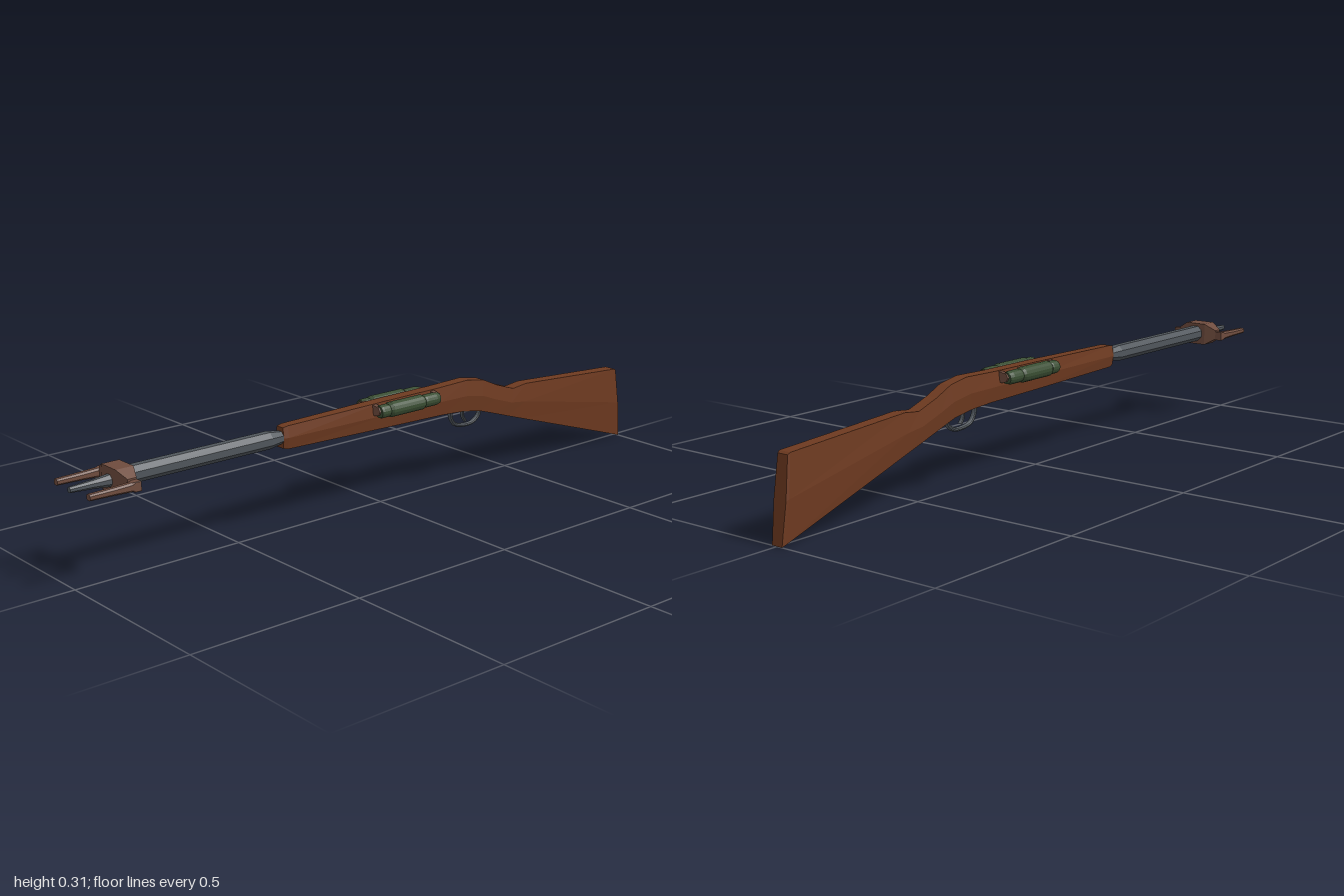
import * as THREE from 'three';

const mat = (name, color) => {
  const m = new THREE.MeshStandardMaterial({ color, flatShading: true });
  m.name = name;
  return m;
};

// Flat-shaded solid through rings of [x, y, z] points, capped at both ends
function loft(rings) {
  const n = rings[0].length, pos = [];
  const tri = (a, b, c) => pos.push(...a, ...b, ...c);
  for (let i = 0; i < rings.length - 1; i++) {
    for (let j = 0; j < n; j++) {
      const k = (j + 1) % n, a = rings[i], b = rings[i + 1];
      tri(a[j], b[j], b[k]);
      tri(a[j], b[k], a[k]);
    }
  }
  const first = rings[0], last = rings[rings.length - 1];
  for (let j = 1; j < n - 1; j++) {
    tri(first[0], first[j], first[j + 1]);
    tri(last[0], last[j + 1], last[j]);
  }
  const g = new THREE.BufferGeometry();
  g.setAttribute('position', new THREE.Float32BufferAttribute(pos, 3));
  g.computeVertexNormals();
  return g;
}

export function createModel() {
  const group = new THREE.Group();
  const wood = mat('walnut wood', 0x6e3a20);
  const steel = mat('dark steel', 0x50565c);
  const green = mat('dark green', 0x3a4e33);
  const bronze = mat('dull bronze', 0x6f4c3e);
  const add = (name, geometry, material, x = 0, y = 0, z = 0) => {
    const mesh = new THREE.Mesh(geometry, material);
    mesh.name = name;
    mesh.position.set(x, y, z);
    group.add(mesh);
  };
  // Faceted round part along x from [radius, x] points
  const turned = (profile, sides) =>
    new THREE.LatheGeometry(profile.map(([r, x]) => new THREE.Vector2(r, x)), sides, Math.PI / sides)
      .rotateZ(-Math.PI / 2);

  // Stock: top x, top y, bottom x, bottom y, edge half width, middle half width
  const stations = [
    [-0.355, 0.294, -0.355, 0.236, 0.013, 0.018],
    [-0.34, 0.297, -0.34, 0.232, 0.015, 0.021],
    [0.0, 0.302, 0.0, 0.224, 0.018, 0.023],
    [0.2, 0.303, 0.22, 0.219, 0.018, 0.024],
    [0.32, 0.306, 0.3, 0.214, 0.018, 0.024],
    [0.385, 0.295, 0.37, 0.203, 0.018, 0.024],
    [0.44, 0.27, 0.42, 0.187, 0.018, 0.023],
    [0.51, 0.246, 0.49, 0.164, 0.018, 0.023],
    [0.565, 0.252, 0.555, 0.143, 0.018, 0.023],
    [0.965, 0.227, 0.99, 0.004, 0.019, 0.024],
    [0.972, 0.222, 1.0, 0, 0.017, 0.021],
  ];
  add('stock', loft(stations.map(([tx, ty, bx, by, e, m]) => {
    const mx = (tx + bx) / 2, my = (ty + by) / 2;
    return [[tx, ty, e], [tx, ty, -e], [mx, my, -m], [bx, by, -e], [bx, by, e], [mx, my, m]];
  })), wood);

  // Barrel with tapered root and muzzle spike
  add('barrel', turned([[0, -0.85], [0.025, -0.85], [0.025, -0.395], [0.017, -0.345], [0, -0.345]], 8),
    steel, 0, 0.265, 0);
  add('muzzleSpike', turned([[0, -1], [0.008, -1], [0.012, -0.93], [0.018, -0.88], [0.018, -0.84], [0, -0.84]], 8),
    steel, 0, 0.262, 0);

  // Fork head across the muzzle
  const head = [[-0.066, 0.013, 0.014], [-0.033, 0.026, 0.033], [0.033, 0.026, 0.033], [0.066, 0.013, 0.014]];
  add('forkHead', loft(head.map(([z, w, h]) => [[-w, -h, z], [-w, h, z], [w, h, z], [w, -h, z]])),
    bronze, -0.861, 0.264, 0);

  // Forward prongs: x, half height, half width, chamfer
  const prong = [[-0.992, 0.008, 0.009, 0.004], [-0.92, 0.01, 0.01, 0.005],
    [-0.872, 0.012, 0.0105, 0.005], [-0.864, 0.013, 0.011, 0.001], [-0.848, 0.013, 0.011, 0.001]];
  for (const s of [1, -1]) {
    add(s > 0 ? 'leftProng' : 'rightProng', loft(prong.map(([x, h, w, c]) => [
      [x, -h, c - w], [x, -h, w - c], [x, c - h, w], [x, h - c, w],
      [x, h, w - c], [x, h, c - w], [x, h - c, -w], [x, c - h, -w],
    ])), bronze, 0, 0.261, s * 0.0765);
  }

  // Paired side canisters held by end brackets
  for (const s of [1, -1]) {
    add(s > 0 ? 'leftCanister' : 'rightCanister', turned([
      [0, -0.04], [0.017, -0.04], [0.019, -0.033], [0.019, -0.012], [0.017, -0.008],
      [0.022, 0], [0.022, 0.115], [0.017, 0.123], [0.019, 0.13], [0.019, 0.165], [0.016, 0.18], [0, 0.18],
    ], 16), green, 0, 0.283, s * 0.0405);
  }
  const bracketShape = new THREE.Shape([
    [-0.044, 0.274], [-0.03, 0.27], [0.03, 0.27], [0.044, 0.274],
    [0.05, 0.285], [0.043, 0.296], [0.02, 0.3], [-0.02, 0.3], [-0.043, 0.296], [-0.05, 0.285],
  ].map(([z, y]) => new THREE.Vector2(z, y)));
  for (const [name, x] of [['frontBracket', -0.045], ['rearBracket', 0.172]]) {
    add(name, new THREE.ExtrudeGeometry(bracketShape, { depth: 0.014, bevelEnabled: false })
      .rotateY(Math.PI / 2), bronze, x, 0, 0);
  }

  // Trigger guard and trigger
  const tube = (points, radius, segments) => new THREE.TubeGeometry(
    new THREE.CatmullRomCurve3(points.map(([x, y]) => new THREE.Vector3(x, y, 0))), segments, radius, 10)
    .scale(1, 1, 1.3);
  add('triggerGuard', tube([[0.268, 0.222], [0.27, 0.198], [0.286, 0.175], [0.32, 0.166],
    [0.357, 0.168], [0.38, 0.184], [0.388, 0.206]], 0.006, 20), steel);
  add('trigger', tube([[0.318, 0.218], [0.317, 0.2], [0.321, 0.187], [0.329, 0.177]], 0.005, 8), steel);
  return group;
}
